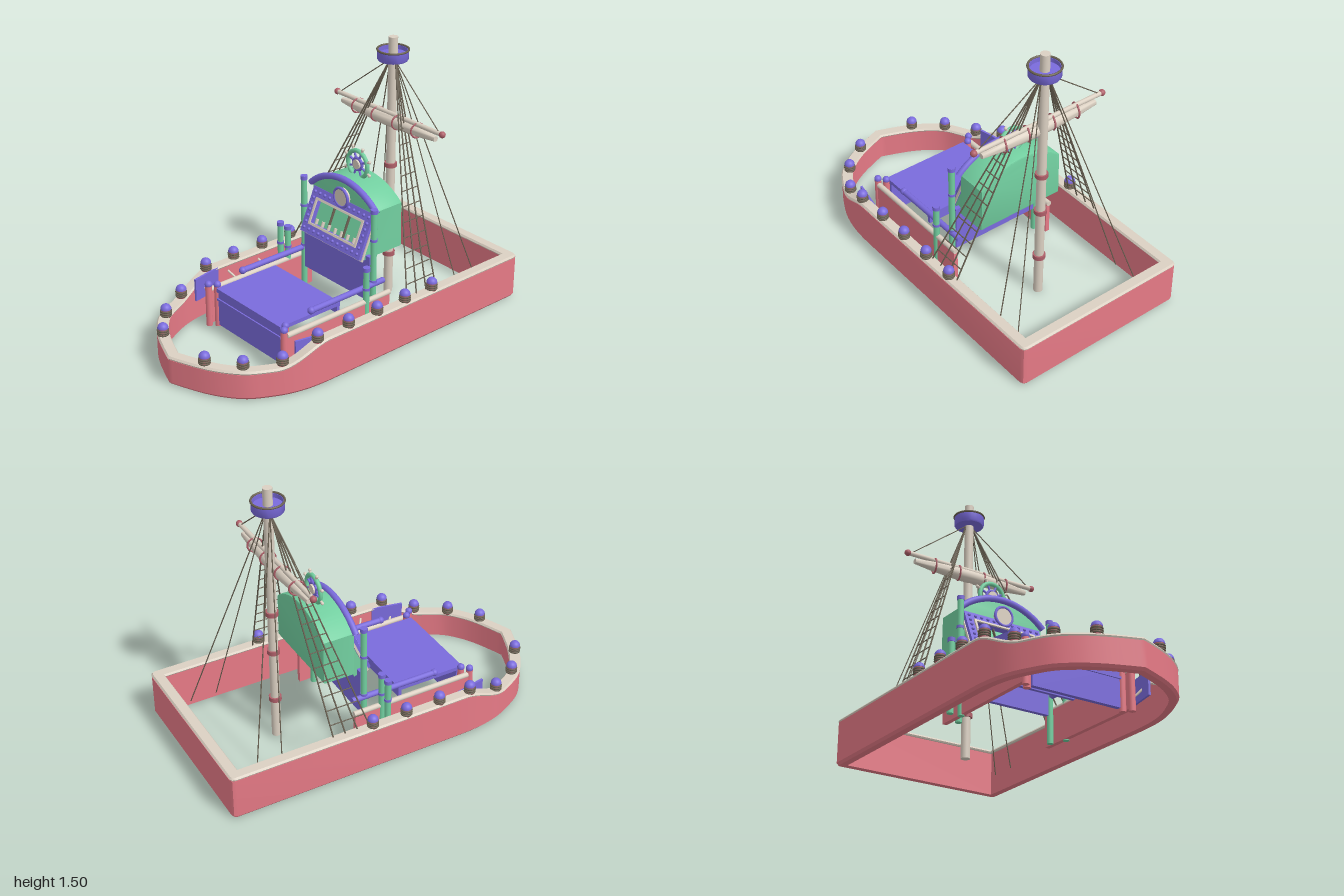
import * as THREE from 'three';
import { toCreasedNormals } from 'three/addons/utils/BufferGeometryUtils.js';

const mat = (color) => new THREE.MeshStandardMaterial({ color, side: THREE.DoubleSide });
const PINK = mat(0xe67a86), PURPLE = mat(0x7a6bdc), GREEN = mat(0x72cfa0);
const BEIGE = mat(0xdbd0c2), ROPE = mat(0x6a6152), RED = mat(0xb0606a);
const V = (x, y, z) => new THREE.Vector3(x, y, z);

export function createModel() {
  const root = new THREE.Group();
  const add = (name, geo, m, x = 0, y = 0, z = 0, parent = root) => {
    const mesh = new THREE.Mesh(geo, m);
    mesh.name = name;
    mesh.position.set(x, y, z);
    parent.add(mesh);
    return mesh;
  };
  const group = (name, x = 0, y = 0, z = 0) => {
    const g = new THREE.Group();
    g.name = name;
    g.position.set(x, y, z);
    root.add(g);
    return g;
  };
  const box = (name, w, h, d, m, x, y, z, p) => add(name, new THREE.BoxGeometry(w, h, d), m, x, y, z, p);
  const ball = (name, r, m, x, y, z, p) => add(name, new THREE.SphereGeometry(r, 16, 10), m, x, y, z, p);
  // Round bar between two points
  const bar = (name, a, b, r, m, p = root, sides = 12) => {
    const mid = a.clone().add(b).multiplyScalar(0.5), dir = b.clone().sub(a);
    const mesh = add(name, new THREE.CylinderGeometry(r, r, dir.length(), sides), m, mid.x, mid.y, mid.z, p);
    mesh.quaternion.setFromUnitVectors(V(0, 1, 0), dir.normalize());
    return mesh;
  };

  // Hull outline, bow to stern and back along the other side
  const bow = new THREE.CatmullRomCurve3([[0, 0.995], [0.09, 0.962], [0.19, 0.92], [0.28, 0.868], [0.37, 0.79],
    [0.43, 0.69], [0.47, 0.6], [0.495, 0.5], [0.505, 0.4], [0.507, 0.28]].map(([x, z]) => V(x, 0, z)));
  const half = [...bow.getPoints(36), V(0.507, 0, -0.975), V(0.5, 0, -0.993), V(0.482, 0, -1)];
  const outline = [...half, ...half.slice(1).reverse().map((p) => V(-p.x, 0, p.z))];
  // Height of the wall: low at the bow, stepping up aft
  const wallTop = (z) => 0.145 + 0.095 * (1 - THREE.MathUtils.smoothstep(z, 0.36, 0.66));
  // Sweep a section of [inset, y] pairs round the outline
  const sweep = (section) => {
    const n = outline.length;
    const rings = outline.map((p, i) => {
      const prev = outline[(i + n - 1) % n], next = outline[(i + 1) % n];
      const d1 = p.clone().sub(prev).normalize(), d2 = next.clone().sub(p).normalize();
      const t = d1.clone().add(d2).normalize(), k = 1 / t.dot(d2);
      return section(wallTop(p.z)).map(([s, y]) => V(p.x + t.z * s * k, y, p.z - t.x * s * k));
    });
    const pts = [];
    rings.forEach((a, i) => {
      const b = rings[(i + 1) % n];
      a.forEach((_, j) => {
        const k = (j + 1) % a.length;
        pts.push(a[j], b[j], a[k], b[j], b[k], a[k]);
      });
    });
    return toCreasedNormals(new THREE.BufferGeometry().setFromPoints(pts), 0.7);
  };
  add('hullWall', sweep((h) => [[0.012, 0], [0, 0.014], [0, h], [0.05, h], [0.05, 0]]), PINK);
  add('hullRail', sweep((h) => [[0.002, h], [-0.002, h + 0.008], [0.006, h + 0.018], [0.056, h + 0.018],
    [0.063, h + 0.008], [0.058, h]]), BEIGE);

  // Knobs along the rail
  const dome = new THREE.SphereGeometry(0.029, 18, 8, 0, Math.PI * 2, 0, Math.PI / 2);
  [[-0.48, -0.19], [-0.48, 0.01], [-0.48, 0.21], [-0.477, 0.4], [-0.44, 0.595], [-0.34, 0.765], [-0.19, 0.89],
    [0.48, -0.365], [0.48, -0.17], [0.48, 0.025], [0.48, 0.22], [0.475, 0.42], [0.43, 0.61], [0.325, 0.775],
    [0.17, 0.895]].forEach(([x, z]) => {
    const g = group('railKnob', x, wallTop(z) + 0.016, z);
    add('knobCap', dome, PURPLE, 0, 0.042, 0, g);
    add('knobBase', new THREE.CylinderGeometry(0.026, 0.026, 0.045, 18), RED, 0, 0.02, 0, g);
    [0.008, 0.02, 0.032].forEach((y) => {
      add('knobRope', new THREE.TorusGeometry(0.027, 0.005, 6, 18), ROPE, 0, y, 0, g).rotation.x = Math.PI / 2;
    });
  });

  // Mast, bands and crow's nest
  const mz = -0.505;
  bar('mast', V(0, 0, mz), V(0, 1.5, mz), 0.025, BEIGE, root, 24);
  [0.24, 0.54, 0.775].forEach((y) => bar('mastBand', V(0, y - 0.012, mz), V(0, y + 0.012, mz), 0.034, RED, root, 24));
  const nest = [[0, 1.372], [0.078, 1.372], [0.083, 1.38], [0.083, 1.428], [0.075, 1.428], [0.075, 1.405], [0, 1.405]];
  add('crowsNest', toCreasedNormals(new THREE.LatheGeometry(nest.map((p) => new THREE.Vector2(...p)), 32), 0.6), PURPLE, 0, 0, mz);
  add('nestRim', new THREE.TorusGeometry(0.083, 0.006, 8, 32), ROPE, 0, 1.43, mz).rotation.x = Math.PI / 2;

  // Yard and furled sail
  const yz = -0.478;
  bar('yard', V(-0.4, 1.083, yz), V(0.4, 1.083, yz), 0.013, BEIGE);
  const roll = [[0, -0.36], [0.015, -0.36], [0.026, -0.25], [0.034, -0.1], [0.036, 0], [0.034, 0.1], [0.026, 0.25],
    [0.015, 0.36], [0, 0.36]];
  add('furledSail', toCreasedNormals(new THREE.LatheGeometry(roll.map((p) => new THREE.Vector2(...p)), 20), 0.7),
    BEIGE, 0, 1.045, yz).rotation.z = Math.PI / 2;
  [-0.235, -0.08, 0.08, 0.225].forEach((x) => {
    const tie = add('sailTie', new THREE.TorusGeometry(0.04, 0.005, 6, 20), RED, x, 1.05, yz);
    tie.rotation.set(0, Math.PI / 2 - 0.25, 0.2);
  });

  const rod = (name, a, b, r) => bar(name, a, b, r, ROPE, root, 6);
  for (const s of [-1, 1]) {
    // Rigging
    const top = V(s * 0.02, 1.37, mz);
    ball('yardEnd', 0.018, RED, s * 0.405, 1.083, yz);
    rod('yardLift', top, V(s * 0.38, 1.09, yz), 0.003);
    const feet = [-0.2, -0.27, -0.34, -0.41].map((z) => V(s * 0.465, 0.25, z));
    feet.forEach((f) => rod('shroud', top, f, 0.004));
    for (let i = 0; i < 11; i++) {
      const t = 0.06 + i * 0.065;
      rod('ratline', feet[0].clone().lerp(top, t), feet[3].clone().lerp(top, t), 0.003);
    }
    [-0.67, -0.82].forEach((z) => rod('backstay', top, V(s * 0.4, 0.07, z), 0.003));

    // Side boards and rails beside the table
    box('sideBoard', 0.025, 0.19, 0.7, PINK, s * 0.315, 0.13, 0.145);
    bar('sideRail', V(s * 0.318, 0.23, -0.21), V(s * 0.318, 0.23, 0.49), 0.015, BEIGE);
    bar('handRail', V(s * 0.283, 0.29, -0.2), V(s * 0.283, 0.29, 0.3), 0.016, PURPLE);
    ball('handRailEnd', 0.02, PURPLE, s * 0.283, 0.29, 0.3);
    [[0.315, 0.505], [0.283, 0.47]].forEach(([x, z]) => {
      bar('frontPost', V(s * x, 0.02, z), V(s * x, 0.26, z), 0.018, PINK);
      ball('frontPostCap', 0.02, PURPLE, s * x, 0.265, z);
    });

    // Green posts with purple caps and bands
    const posts = [[0.28, -0.13, 0.7], [0.32, -0.045, 0.41]];
    if (s < 0) posts.push([0.383, -0.045, 0.41]);
    posts.forEach(([x, z, h]) => {
      bar('greenPost', V(s * x, 0.03, z), V(s * x, h, z), 0.017, GREEN);
      bar('postCap', V(s * x, h, z), V(s * x, h + 0.022, z), 0.02, PURPLE);
      (h > 0.5 ? [0.3, 0.54] : [0.3]).forEach((y) => bar('postBand', V(s * x, y, z), V(s * x, y + 0.014, z), 0.02, PURPLE));
    });

    // Braces and boards inside the hull
    [0.0, 0.21, 0.41].forEach((z) => bar('hullBrace', V(s * 0.38, 0.12, z), V(s * 0.455, 0.21, z + 0.06), 0.006, BEIGE));
    box('bowBoard', 0.012, 0.13, 0.18, PURPLE, s * 0.435, 0.19, 0.43).rotation.y = -s * 0.2;
  }

  // Table and the panel behind it
  box('tableTop', 0.53, 0.022, 0.4, PURPLE, 0, 0.245, 0.29);
  box('tableFront', 0.52, 0.2, 0.025, PURPLE, 0, 0.135, 0.47);
  box('tableLip', 0.53, 0.05, 0.02, PURPLE, 0, 0.22, 0.1);
  box('tableTrim', 0.53, 0.012, 0.02, PURPLE, 0, 0.19, 0.48);
  box('backPanel', 0.525, 0.26, 0.025, PURPLE, 0, 0.31, -0.13);

  // Console body with an arched top
  const R = 0.374, cy = 0.411, a = 0.769;
  const body = new THREE.Shape();
  body.moveTo(-0.25, 0.445);
  body.lineTo(0.25, 0.445);
  body.absarc(0, cy, R - 0.008, Math.PI / 2 - a + 0.03, Math.PI / 2 + a - 0.03, false);
  body.closePath();
  add('consoleBody', toCreasedNormals(new THREE.ExtrudeGeometry(body, { depth: 0.165, bevelSize: 0.008,
    bevelThickness: 0.008, bevelSegments: 2, curveSegments: 24 }), 0.6), GREEN, 0, 0, -0.343);
  add('consoleArch', new THREE.TorusGeometry(R, 0.018, 10, 40, 2 * a), PURPLE, 0, cy, -0.165).rotation.z = Math.PI / 2 - a;
  add('medallion', new THREE.CylinderGeometry(0.05, 0.05, 0.03, 28), BEIGE, 0, 0.685, -0.16).rotation.x = Math.PI / 2;
  add('medallionRing', new THREE.TorusGeometry(0.053, 0.008, 8, 28), PURPLE, 0, 0.685, -0.148);
  [-0.2, 0.2].forEach((x) => ball('consoleFoot', 0.014, BEIGE, x, 0.435, -0.26));

  // Tilted display with a studded frame
  const display = group('display', 0, 0.55, -0.115);
  display.rotation.x = -0.41;
  const frame = (w, h, iw, ih, depth) => {
    const rect = (S, x, y) => {
      const s = new S();
      s.moveTo(-x, -y); s.lineTo(x, -y); s.lineTo(x, y); s.lineTo(-x, y); s.closePath();
      return s;
    };
    const shape = rect(THREE.Shape, w, h);
    shape.holes.push(rect(THREE.Path, iw, ih));
    return new THREE.ExtrudeGeometry(shape, { depth, bevelEnabled: false });
  };
  box('displayCase', 0.46, 0.25, 0.07, GREEN, 0, 0, -0.065, display);
  add('displayFrame', frame(0.237, 0.128, 0.18, 0.066, 0.03), PURPLE, 0, 0, -0.03, display);
  add('windowRim', frame(0.19, 0.076, 0.178, 0.064, 0.008), BEIGE, 0, 0, 0, display);
  add('outerRim', frame(0.243, 0.134, 0.235, 0.126, 0.012), BEIGE, 0, 0, -0.03, display);
  [-0.06, 0.06].forEach((x) => box('windowDivider', 0.005, 0.13, 0.015, ROPE, x, 0, -0.022, display));
  for (let i = 0; i < 7; i++) {
    const x = -0.15 + i * 0.05;
    bar('windowPeg', V(x, -0.064, -0.015), V(x, -0.035, -0.015), 0.009, BEIGE, display);
  }
  const stud = (x, y) => ball('frameStud', 0.009, PURPLE, x, y, 0.002, display);
  for (let i = 0; i < 12; i++) [-0.102, 0.102].forEach((y) => stud(-0.213 + i * 0.0387, y));
  for (let i = 0; i < 5; i++) [-0.213, 0.213].forEach((x) => stud(x, -0.068 + i * 0.034));

  // Steering wheel on top
  const wheel = group('steeringWheel', 0, 0.845, -0.265);
  add('wheelRim', new THREE.TorusGeometry(0.075, 0.012, 10, 36), GREEN, 0, 0, 0, wheel);
  add('hubRing', new THREE.TorusGeometry(0.033, 0.008, 8, 24), PURPLE, 0, 0, 0, wheel);
  add('hub', new THREE.CylinderGeometry(0.026, 0.026, 0.03, 20), BEIGE, 0, 0, 0, wheel).rotation.x = Math.PI / 2;
  for (let i = 0; i < 8; i++) {
    const t = (i + 0.5) * Math.PI / 4, at = (r) => V(Math.cos(t) * r, Math.sin(t) * r, 0);
    bar('spoke', at(0.03), at(0.075), 0.006, PURPLE, wheel);
    bar('spokeHandle', at(0.08), at(0.1), 0.007, BEIGE, wheel);
    ball('spokeEnd', 0.009, BEIGE, ...at(0.1).toArray(), wheel);
  }
  return root;
}
